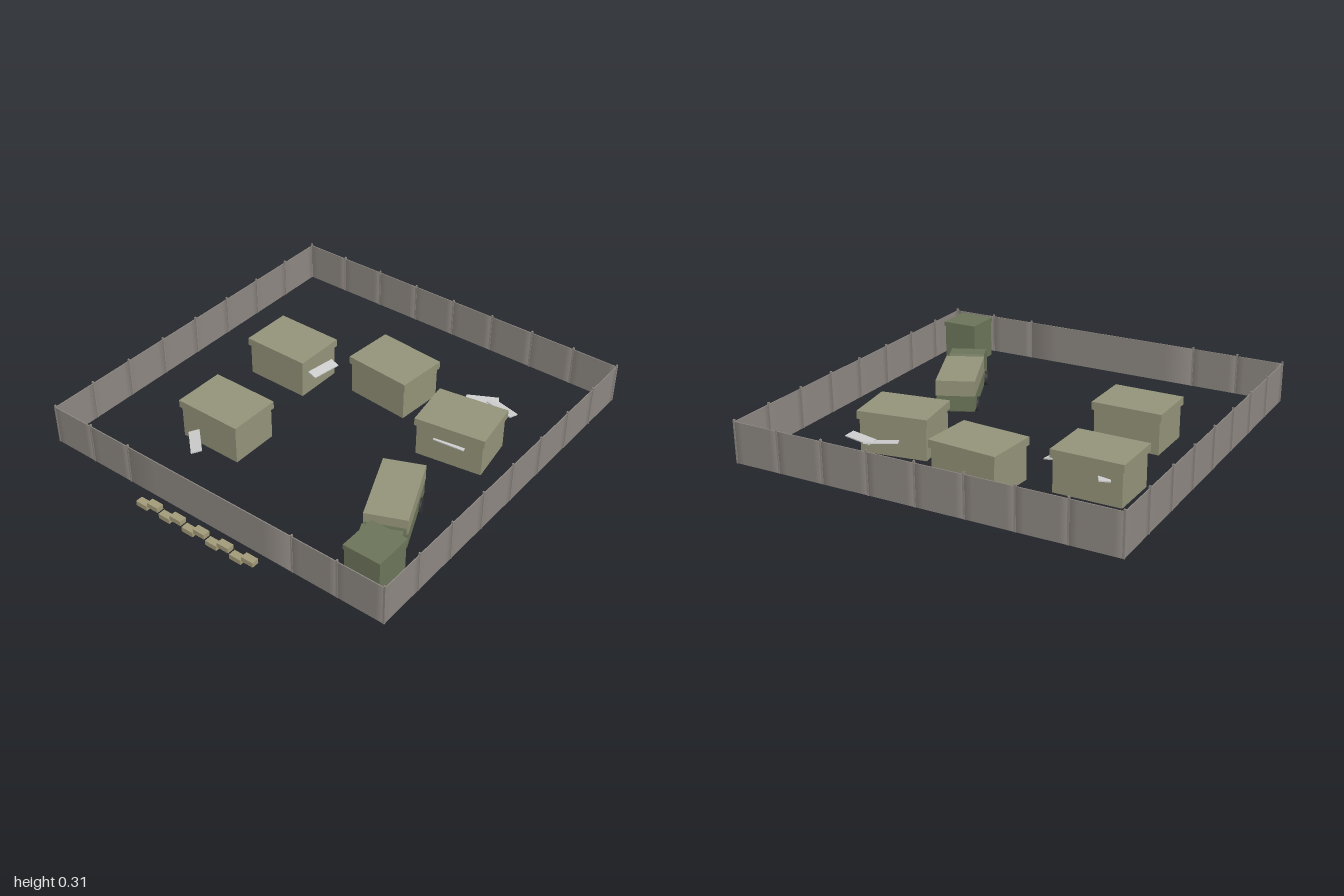
import * as THREE from 'three';

const mat = (color) => new THREE.MeshStandardMaterial({ color });

export function createModel() {
  const root = new THREE.Group();
  const tan = mat(0x939278), green = mat(0x6b7459), darkGreen = mat(0x59634b);
  const fence = mat(0x8c8680), sand = mat(0xa29a78), rubber = mat(0x333336), sheet = mat(0xc4c4c0);

  const add = (parent, name, geo, material, x = 0, y = 0, z = 0) => {
    const m = new THREE.Mesh(geo, material);
    m.name = name;
    m.position.set(x, y, z);
    parent.add(m);
    return m;
  };
  const box = (parent, name, material, w, h, d, x, y, z) =>
    add(parent, name, new THREE.BoxGeometry(w, h, d), material, x, y, z);
  const group = (name, x, z, rot) => {
    const g = new THREE.Group();
    g.name = name;
    g.position.set(x, 0, z);
    g.rotation.y = rot;
    root.add(g);
    return g;
  };

  // Perimeter wall: panels with softened end normals, and thin posts
  const panelGeo = (w) => {
    const geo = new THREE.BoxGeometry(w, 0.2, 0.005, 6);
    const p = geo.attributes.position, n = geo.attributes.normal;
    for (let i = 0; i < p.count; i++) {
      if (Math.abs(n.getZ(i)) < 0.5 || Math.abs(p.getX(i)) < w / 2 - 0.001) continue;
      const v = new THREE.Vector3(Math.sign(p.getX(i)), 0, n.getZ(i)).normalize();
      n.setXYZ(i, v.x, v.y, v.z);
    }
    return geo;
  };
  const half = 0.945, step = half / 4, midZ = -0.055;
  for (let side = 0; side < 4; side++) {
    const wall = group('wall', 0, midZ, side * Math.PI / 2);
    const stops = side === 0 ? [0, 1, 2, 6, 7, 8] : [0, 1, 2, 3, 4, 5, 6, 7, 8];
    stops.forEach((s, i) => {
      const x = -half + s * step;
      if (i < stops.length - 1) {
        const w = (stops[i + 1] - s) * step;
        add(wall, 'wallPanel', panelGeo(w), fence, x + w / 2, 0.19, half);
        box(wall, 'wallPost', fence, 0.008, 0.21, 0.01, x, 0.195, half);
      }
    });
  }

  // Huts with overhanging flat roofs
  [[-0.517, -0.31, -0.012], [-0.002, -0.485, -0.083], [0.511, -0.313, 0.15], [-0.43, 0.29, -0.005]]
    .forEach(([x, z, rot]) => {
      const hut = group('hut', x, z, rot);
      box(hut, 'hutBody', tan, 0.34, 0.175, 0.255, 0, 0.0875, 0);
      box(hut, 'hutRoof', tan, 0.36, 0.04, 0.272, 0, 0.19, 0);
    });

  // Loose sheets by the huts: x, z, turn, tilt
  [[0.47, -0.565, 0.49, 0.15], [0.58, -0.57, -0.23, -0.15], [-0.305, -0.295, 1.42, 0.2],
    [-0.575, -0.40, -1.05, 0.1], [-0.412, 0.533, -0.75, 0.2], [0.53, -0.2, 0.1, 0.1]]
    .forEach(([x, z, turn, tilt]) => {
      const s = box(root, 'looseSheet', sheet, 0.16, 0.006, 0.053, x, 0.125, z);
      s.rotation.set(tilt, turn, 0, 'YXZ');
    });

  // Truck, pointing along its local +z
  const truck = group('truck', 0.4925, 0.12, 0.408);
  box(truck, 'chassis', darkGreen, 0.17, 0.07, 0.55, 0, 0.065, 0.28);
  box(truck, 'cargoBed', green, 0.195, 0.08, 0.38, 0, 0.075, 0.192);
  box(truck, 'cargoCover', tan, 0.2, 0.08, 0.382, 0, 0.155, 0.191);
  const profile = new THREE.Shape([
    [0.385, 0.03], [0.564, 0.03], [0.564, 0.16], [0.545, 0.182], [0.443, 0.187], [0.385, 0.15],
  ].map(([z, y]) => new THREE.Vector2(-z, y)));
  const cabGeo = new THREE.ExtrudeGeometry(profile, { depth: 0.185, bevelEnabled: false });
  cabGeo.translate(0, 0, -0.0925).rotateY(Math.PI / 2);
  add(truck, 'cab', cabGeo, green);
  const wheelGeo = new THREE.CylinderGeometry(0.038, 0.038, 0.025, 20).rotateZ(Math.PI / 2);
  for (const z of [0.1, 0.485])
    for (const s of [-1, 1]) add(truck, 'wheel', wheelGeo, rubber, s * 0.095, 0.038, z);

  // Raised guard booth in the corner
  box(root, 'guardBooth', green, 0.18, 0.2, 0.18, 0.772, 0.195, 0.72);
  box(root, 'guardBoothRoof', green, 0.187, 0.025, 0.19, 0.772, 0.2975, 0.72);

  // Staggered sandbags outside the front wall
  for (let i = 0; i < 10; i++)
    box(root, 'sandbag', sand, 0.063, 0.025, 0.036, -0.302 + i * 0.0687, i % 2 ? 0.134 : 0.108, 0.98);

  return root;
}
